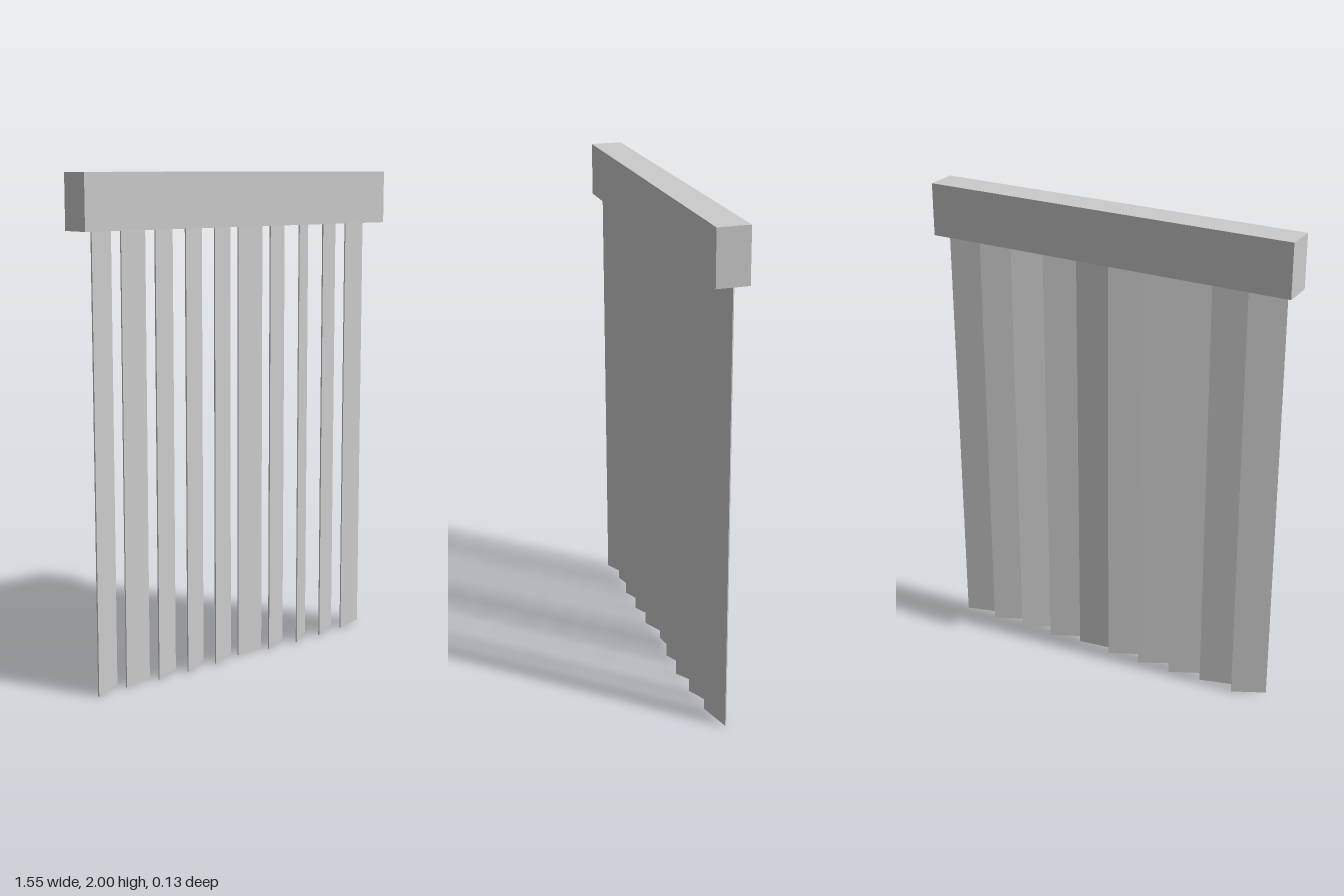
import * as THREE from 'three';

export function createModel() {
  const model = new THREE.Group();
  model.name = 'verticalBlind';
  const material = new THREE.MeshStandardMaterial({ color: 0xcccccc });

  function box(name, parent, w, h, d, x, y, z) {
    const mesh = new THREE.Mesh(new THREE.BoxGeometry(w, h, d), material);
    mesh.name = name;
    mesh.position.set(x, y, z);
    parent.add(mesh);
    return mesh;
  }

  const width = 1.55, depth = 0.128, top = 2, bottom = 1.785, wall = 0.01;
  const railBottom = 1.812;

  // Valance: a shallow cover, open underneath
  const valance = new THREE.Group();
  valance.name = 'valance';
  model.add(valance);
  const shape = new THREE.Shape();
  const rect = (path, w, d) => path.moveTo(-w / 2, -d / 2).lineTo(w / 2, -d / 2)
    .lineTo(w / 2, d / 2).lineTo(-w / 2, d / 2).closePath();
  rect(shape, width, depth);
  const opening = new THREE.Path();
  rect(opening, width - 2 * wall, depth - 2 * wall);
  shape.holes.push(opening);
  const skirtGeometry = new THREE.ExtrudeGeometry(shape, { depth: top - bottom, bevelEnabled: false });
  skirtGeometry.rotateX(-Math.PI / 2);
  const skirt = new THREE.Mesh(skirtGeometry, material);
  skirt.name = 'valanceSkirt';
  skirt.position.y = bottom;
  valance.add(skirt);

  // Head rail filling the cover, recessed from its lower edge
  box('headRail', valance, width - 2 * wall, top - railBottom, depth - 2 * wall,
    0, (top + railBottom) / 2, 0);

  // Hanging slats, each turned by a slightly different angle
  const angles = [25.5, 15, 25.5, 26, 25, 8, 25, 33, 25.5, 15];
  const slats = new THREE.Group();
  slats.name = 'slats';
  model.add(slats);
  angles.forEach((angle, i) => {
    const x = (i - (angles.length - 1) / 2) * 0.1467;
    const slat = box('slat', slats, 0.146, railBottom, 0.005, x, railBottom / 2, 0);
    slat.rotation.y = THREE.MathUtils.degToRad(angle);
  });

  return model;
}
